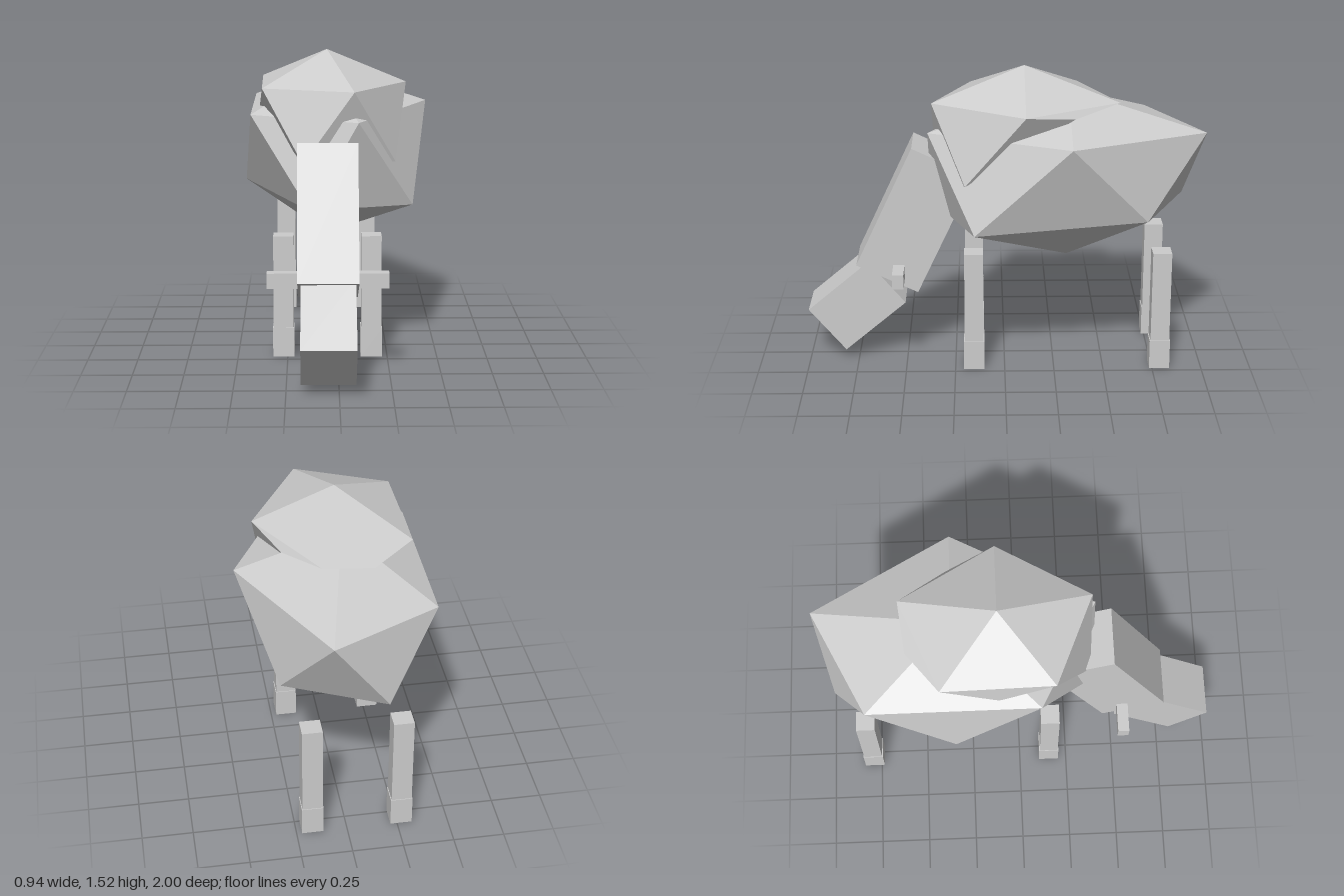
import * as THREE from 'three';

const CX = -0.05; // symmetry line of the animal

// Faceted 20-sided lump: top point, upper ring, lower ring, bottom point
function lumpGeometry(top, upper, lower, bottom) {
  const p = [];
  for (let i = 0; i < 5; i++) {
    const j = (i + 1) % 5;
    p.push(...top, ...upper[i], ...upper[j]);
    p.push(...upper[i], ...lower[i], ...upper[j]);
    p.push(...lower[i], ...lower[j], ...upper[j]);
    p.push(...bottom, ...lower[j], ...lower[i]);
  }
  const g = new THREE.BufferGeometry();
  g.setAttribute('position', new THREE.Float32BufferAttribute(p, 3));
  g.computeVertexNormals();
  return g;
}

export function createModel() {
  const model = new THREE.Group();
  model.name = 'grazingAnimal';
  const grey = new THREE.MeshStandardMaterial({ color: 0xcccccc });
  grey.name = 'wool grey';

  function add(name, geometry, x = 0, y = 0, z = 0, tilt = 0) {
    const mesh = new THREE.Mesh(geometry, grey);
    mesh.name = name;
    mesh.position.set(x, y, z);
    mesh.rotation.x = tilt;
    model.add(mesh);
  }
  const box = (w, h, d) => new THREE.BoxGeometry(w, h, d);

  // Main woolly body
  add('body', lumpGeometry(
    [CX, 1.4, -0.32],
    [[0.465, 1.23, -0.32], [0.095, 1.21, -1], [-0.43, 1.21, -0.74], [-0.43, 1.215, 0.1], [0.1, 1.215, 0.38]],
    [[0.3, 0.815, -0.7], [-0.18, 0.815, -0.92], [-0.47, 0.815, -0.32], [-0.14, 0.785, 0.37], [0.375, 0.77, 0.15]],
    [CX, 0.525, -0.32]
  ));

  // Smaller wool cap over the shoulders
  add('woolCap', lumpGeometry(
    [CX, 1.52, -0.1],
    [[0.35, 1.355, -0.1], [0.08, 1.36, -0.57], [-0.38, 1.355, -0.38], [-0.37, 1.355, 0.17], [0.08, 1.36, 0.36]],
    [[0.24, 1.32, -0.34], [-0.17, 1.32, -0.54], [-0.39, 1.23, -0.1], [-0.17, 1.01, 0.35], [0.287, 0.995, 0.195]],
    [CX, 1.1, -0.1]
  ));

  // Lowered head and snout
  add('head', box(0.29, 0.68, 0.344), CX, 0.7525, 0.45, -0.44);
  add('snout', box(0.26, 0.404, 0.29), CX, 0.29, 0.753, -0.873);

  for (const side of [-1, 1]) {
    // Ears
    add('ear', box(0.15, 0.075, 0.057), CX + side * 0.218, 0.483, 0.534);
    // Legs with slightly wider hooves
    for (const z of [0.155, -0.787]) {
      const x = CX + side * 0.22;
      add('leg', box(0.1, 0.47, 0.095), x, 0.385, z);
      add('hoof', box(0.107, 0.15, 0.103), x, 0.075, z);
    }
  }
  return model;
}
